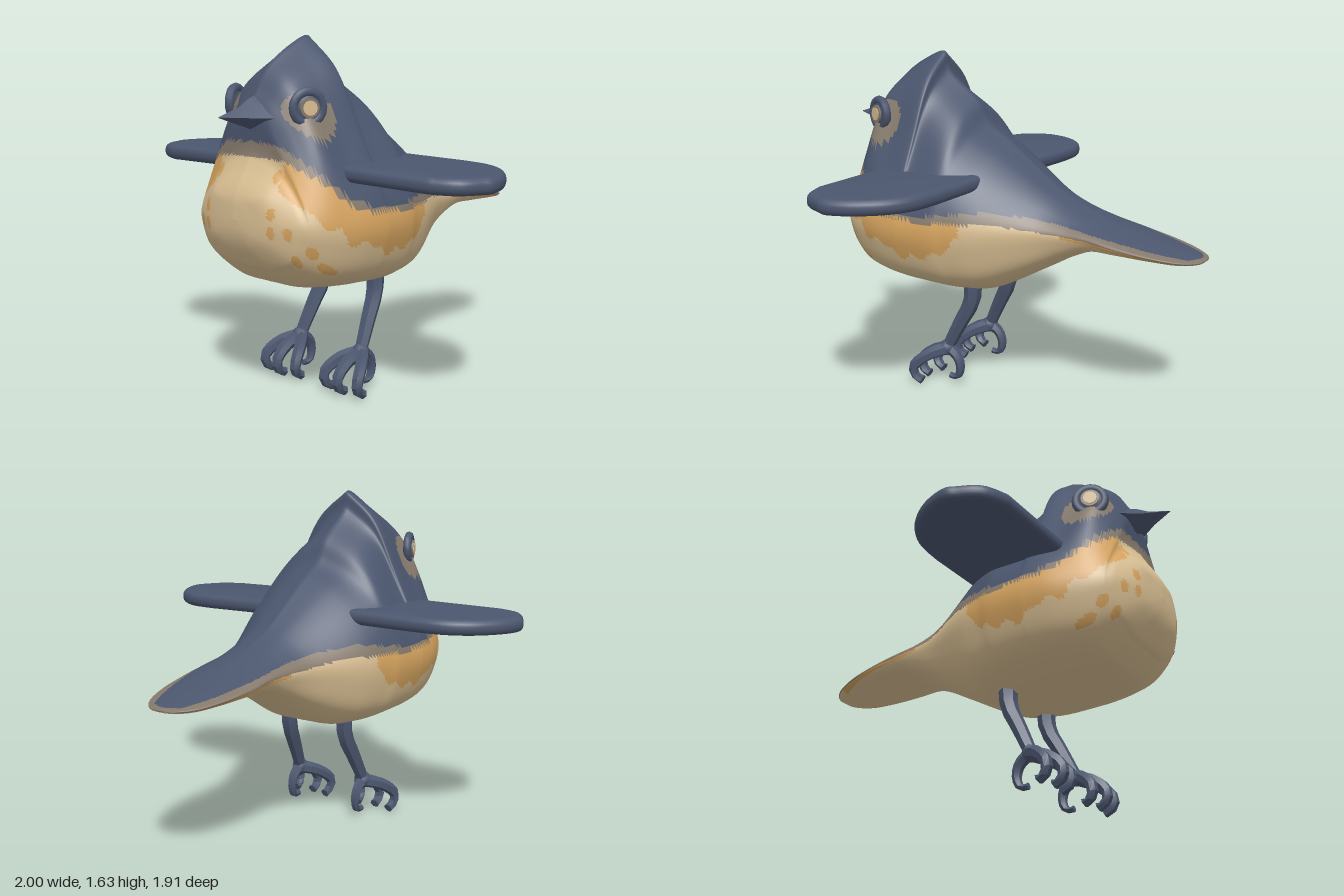
import * as THREE from 'three';
import { toCreasedNormals } from 'three/addons/utils/BufferGeometryUtils.js';

const V = (x, y, z) => new THREE.Vector3(x, y, z);
const paint = (name, color) => {
  const m = new THREE.MeshStandardMaterial({ color });
  m.name = name;
  return m;
};

// piecewise linear lookup in a table of [z, value], z descending
function lookup(table, z) {
  if (z >= table[0][0]) return table[0][1];
  for (let i = 1; i < table.length; i++) {
    const [z0, a] = table[i - 1], [z1, b] = table[i];
    if (z >= z1) return a + (b - a) * (z0 - z) / (z0 - z1);
  }
  return table[table.length - 1][1];
}

// body sections: z, bottom y, half width, neck half width, top y
const SECTIONS = [
  [0.892, 0.87, 0, 0, 0.87],
  [0.885, 0.80, 0.09, 0.06, 0.95],
  [0.865, 0.74, 0.20, 0.16, 1.00],
  [0.81, 0.65, 0.31, 0.20, 1.09],
  [0.785, 0.63, 0.34, 0.20, 1.15],
  [0.775, 0.62, 0.35, 0.16, 1.34],
  [0.74, 0.59, 0.375, 0.20, 1.41],
  [0.68, 0.55, 0.405, 0.24, 1.50],
  [0.55, 0.525, 0.45, 0.29, 1.59],
  [0.43, 0.513, 0.465, 0.295, 1.63],
  [0.41, 0.512, 0.465, 0.30, 1.545],
  [0.24, 0.50, 0.45, 0.34, 1.40],
  [0.18, 0.50, 0.43, 0.345, 1.30],
  [0.06, 0.515, 0.39, 0.30, 1.22],
  [-0.21, 0.65, 0.25, 0.18, 1.02],
  [-0.33, 0.715, 0.22, 0.16, 0.956],
  [-0.45, 0.76, 0.21, 0.15, 0.91],
  [-0.58, 0.765, 0.21, 0.16, 0.865],
  [-0.75, 0.76, 0.185, 0.13, 0.82],
  [-0.88, 0.752, 0.13, 0.09, 0.79],
  [-0.945, 0.757, 0.06, 0.04, 0.775],
  [-0.955, 0.766, 0, 0, 0.766],
];

// plumage borders along z
const CAP_EDGE = [[0.785, 1.19], [0.74, 1.12], [0.68, 1.04], [0.6, 0.96], [0.5, 0.92], [0.3, 0.905],
  [0, 0.94], [-0.15, 0.915], [-0.3, 0.89], [-0.6, 0.835], [-0.75, 0.805], [-0.9, 0.778]];
const BAND_DEPTH = [[0.78, 0.07], [0.68, 0.03], [0.3, 0.025], [0.05, 0.055], [-0.25, 0.05], [-0.45, 0.03], [-0.9, 0.015]];
const FLANK_EDGE = [[0.82, 1.0], [0.78, 0.92], [0.74, 0.86], [0.66, 0.83], [0.62, 0.77], [0.5, 0.76],
  [0.42, 0.70], [0.25, 0.71], [0.14, 0.77], [0.1, 0.83]];
const SPECKLES = [[0.18, 1.05], [0.2, 0.9], [0.2, 0.82], [0.34, 0.74], [0.28, 0.7], [0.27, 0.82], [0.35, 0.66]];

// 0 slate, 1 taupe, 2 cream, 3 orange
function plumage(x, y, z) {
  const edge = lookup(CAP_EDGE, z), low = edge - lookup(BAND_DEPTH, z);
  if (y > edge) return Math.hypot(z - 0.635, y - 1.3) < 0.105 && x > 0.1 ? 1 : 0;
  if (y > low) return 1;
  if (z > 0.1 && z < 0.82 && x > 0.2 && y > lookup(FLANK_EDGE, z) + 0.015 * Math.sin(z * 60)) return 3;
  if (z > 0.5 && SPECKLES.some(([sx, sy]) => Math.hypot((x - sx) / 0.018, (y - sy) / 0.03) < 1)) return 3;
  if (z < -0.33 && z > -0.85 && y > low - 0.014 && x > 0.08) return 3;
  return 2;
}

// half outline of one section, from belly over the widest point and neck to the crown
function sectionOutline([z, yb, w, n, yt], count) {
  const yw = Math.min(0.86, yb + 0.55 * (yt - yb));
  const yn = yw + (z > 0.6 ? 0.68 : 0.5) * (yt - yw);
  const low = [[0, 0], [0.45, 0.03], [0.82, 0.26], [0.96, 0.6], [1, 1]].map(([a, b]) => V(a * w, yb + b * (yw - yb), z));
  const high = [V(n, yn, z), V(n * 0.55, yn + 0.65 * (yt - yn), z), V(0, yt, z)];
  return new THREE.CatmullRomCurve3([...low, ...high]).getPoints(count);
}

function bodyGeometry() {
  const half = 64, ring = half * 2, steps = (SECTIONS.length - 1) * 8;
  const outlines = SECTIONS.map(s => sectionOutline(s, half));
  const pos = new Float32Array((steps + 1) * ring * 3);
  for (let j = 0; j <= half; j++) {
    const line = new THREE.CatmullRomCurve3(outlines.map(o => o[j])).getPoints(steps);
    line.forEach((p, i) => {
      const x = j % half ? Math.max(p.x, 0) : 0;
      pos.set([x, p.y, p.z], (i * ring + j) * 3);
      if (j % half) pos.set([-x, p.y, p.z], (i * ring + ring - j) * 3);
    });
  }
  const faces = [[], [], [], []];
  const mean = (t, k) => t.reduce((s, v) => s + (k ? pos[v * 3 + k] : Math.abs(pos[v * 3])), 0) / 3;
  for (let i = 0; i < steps; i++) for (let j = 0; j < ring; j++) {
    const a = i * ring + j, c = i * ring + (j + 1) % ring;
    for (const t of [[a, a + ring, c], [c, a + ring, c + ring]]) faces[plumage(mean(t, 0), mean(t, 1), mean(t, 2))].push(...t);
  }
  const g = new THREE.BufferGeometry();
  g.setAttribute('position', new THREE.BufferAttribute(pos, 3));
  g.setIndex(faces.flat());
  let start = 0;
  faces.forEach((f, k) => { g.addGroup(start, f.length, k); start += f.length; });
  g.computeVertexNormals();
  return g;
}

// faceted limb along a path with a radius at each end and a blunt closed tip
function limbGeometry(points, r0, r1, seg = 8, sides = 6) {
  const curve = new THREE.CatmullRomCurve3(points);
  const g = new THREE.TubeGeometry(curve, seg, 1, sides);
  const p = g.attributes.position, v = V(0, 0, 0);
  for (let k = 0; k < p.count; k++) {
    const i = Math.floor(k / (sides + 1)), t = Math.min(i / (seg - 1), 1);
    v.fromBufferAttribute(p, k).sub(curve.getPointAt(i / seg));
    v.multiplyScalar(i === seg ? 0 : r0 + (r1 - r0) * t).add(curve.getPointAt(t));
    p.setXYZ(k, v.x, v.y, v.z);
  }
  return toCreasedNormals(g, 0.5);
}

function wingGeometry(s) {
  const inset = 0.035;
  const edge = [[0.82, 0.59], [0.93, 0.54], [0.985, 0.44], [1, 0.385], [0.96, 0.27], [0.87, 0.15], [0.75, 0.08], [0.6, 0.06]];
  const pts = [[0.25, 0.59], ...edge, [0.25, 0.06]].map(([x, z]) =>
    new THREE.Vector2(s * (x > 0.6 ? x - inset * (x - 0.6) / 0.4 : x), 0.325 + (z - 0.325) * (1 - inset / 0.265)));
  const shape = new THREE.Shape();
  shape.moveTo(pts[0].x, pts[0].y);
  shape.lineTo(pts[1].x, pts[1].y);
  shape.splineThru(pts.slice(2, 9));
  shape.lineTo(pts[9].x, pts[9].y);
  const g = new THREE.ExtrudeGeometry(shape, { depth: 0.014, bevelThickness: 0.03, bevelSize: inset, bevelSegments: 4, curveSegments: 4 });
  g.rotateX(Math.PI / 2).translate(0, 1.065, 0);
  // slight droop at the tip
  const p = g.attributes.position;
  for (let k = 0; k < p.count; k++) p.setY(k, p.getY(k) - 0.012 * Math.max(0, Math.abs(p.getX(k)) - 0.3));
  return toCreasedNormals(g, 0.7);
}

function beakGeometry() {
  // z, ridge y, shoulder x, shoulder y, corner x, corner y, bottom y
  const rows = [[0.73, 1.39, 0.055, 1.36, 0.15, 1.29, 1.23], [0.79, 1.37, 0.045, 1.335, 0.105, 1.29, 1.24],
    [0.85, 1.335, 0.025, 1.32, 0.06, 1.293, 1.26], [0.96, 1.3, 0, 1.3, 0, 1.3, 1.298]];
  const pos = [], index = [];
  for (const [z, t, sx, sy, cx, cy, b] of rows) pos.push(0, b, z, cx, cy, z, sx, sy, z, 0, t, z, -sx, sy, z, -cx, cy, z);
  for (let i = 0; i < rows.length - 1; i++) for (let j = 0; j < 6; j++) {
    const a = i * 6 + j, c = i * 6 + (j + 1) % 6;
    index.push(a, c, a + 6, c, c + 6, a + 6);
  }
  const g = new THREE.BufferGeometry();
  g.setAttribute('position', new THREE.Float32BufferAttribute(pos, 3));
  g.setIndex(index);
  return toCreasedNormals(g, 0.3);
}

export function createModel() {
  const slate = paint('slate blue', 0x4b566e), taupe = paint('taupe', 0x85796c);
  const cream = paint('cream', 0xd8be92), orange = paint('orange', 0xd6a45f);
  const bird = new THREE.Group();
  bird.name = 'bird';
  const add = (name, geometry, material, parent = bird) => {
    const mesh = new THREE.Mesh(geometry, material);
    mesh.name = name;
    parent.add(mesh);
    return mesh;
  };

  add('body', bodyGeometry(), [slate, taupe, cream, orange]);
  add('beak', beakGeometry(), slate);

  for (const s of [1, -1]) {
    const side = s > 0 ? 'left' : 'right';
    add(side + 'Wing', wingGeometry(s), slate);

    // eye: rim, ball, iris and bright centre
    const eye = new THREE.Group();
    eye.name = side + 'Eye';
    eye.position.set(s * 0.23, 1.335, 0.665);
    eye.rotation.y = s * 1.16;
    bird.add(eye);
    add('eyeRim', new THREE.TorusGeometry(0.066, 0.021, 8, 20), slate, eye);
    add('eyeBall', new THREE.SphereGeometry(0.066, 20, 12).scale(1, 1, 0.35), slate, eye);
    add('iris', new THREE.CylinderGeometry(0.043, 0.043, 0.008, 16).rotateX(Math.PI / 2), taupe, eye).position.z = 0.022;
    add('eyeCentre', new THREE.CylinderGeometry(0.032, 0.032, 0.008, 12).rotateX(Math.PI / 2), cream, eye).position.z = 0.026;

    // leg, ankle, three front toes and a back toe
    const leg = new THREE.Group();
    leg.name = side + 'Leg';
    bird.add(leg);
    add('shin', limbGeometry([V(s * 0.17, 0.58, 0.175), V(s * 0.172, 0.44, 0.18), V(s * 0.185, 0.32, 0.24), V(s * 0.2, 0.18, 0.31)], 0.047, 0.03), slate, leg);
    add('ankle', new THREE.IcosahedronGeometry(0.042, 1), slate, leg).position.set(s * 0.2, 0.18, 0.31);
    for (const d of [-0.1, 0, 0.1]) {
      const x = s * 0.2, z = d ? 0 : 0.02;
      add('frontToe', limbGeometry([V(x, 0.18, 0.3), V(x + d * 0.7, 0.15, 0.38 + z), V(x + d * 1.05, 0.09, 0.445 + z),
        V(x + d, 0.04, 0.44 + z), V(x + d * 0.95, 0.02, 0.4 + z)], 0.034, 0.024, 10), slate, leg);
    }
    add('backToe', limbGeometry([V(s * 0.2, 0.18, 0.3), V(s * 0.2, 0.14, 0.25), V(s * 0.2, 0.08, 0.235),
      V(s * 0.2, 0.035, 0.255), V(s * 0.2, 0.035, 0.295)], 0.03, 0.016, 10), slate, leg);
  }
  return bird;
}
